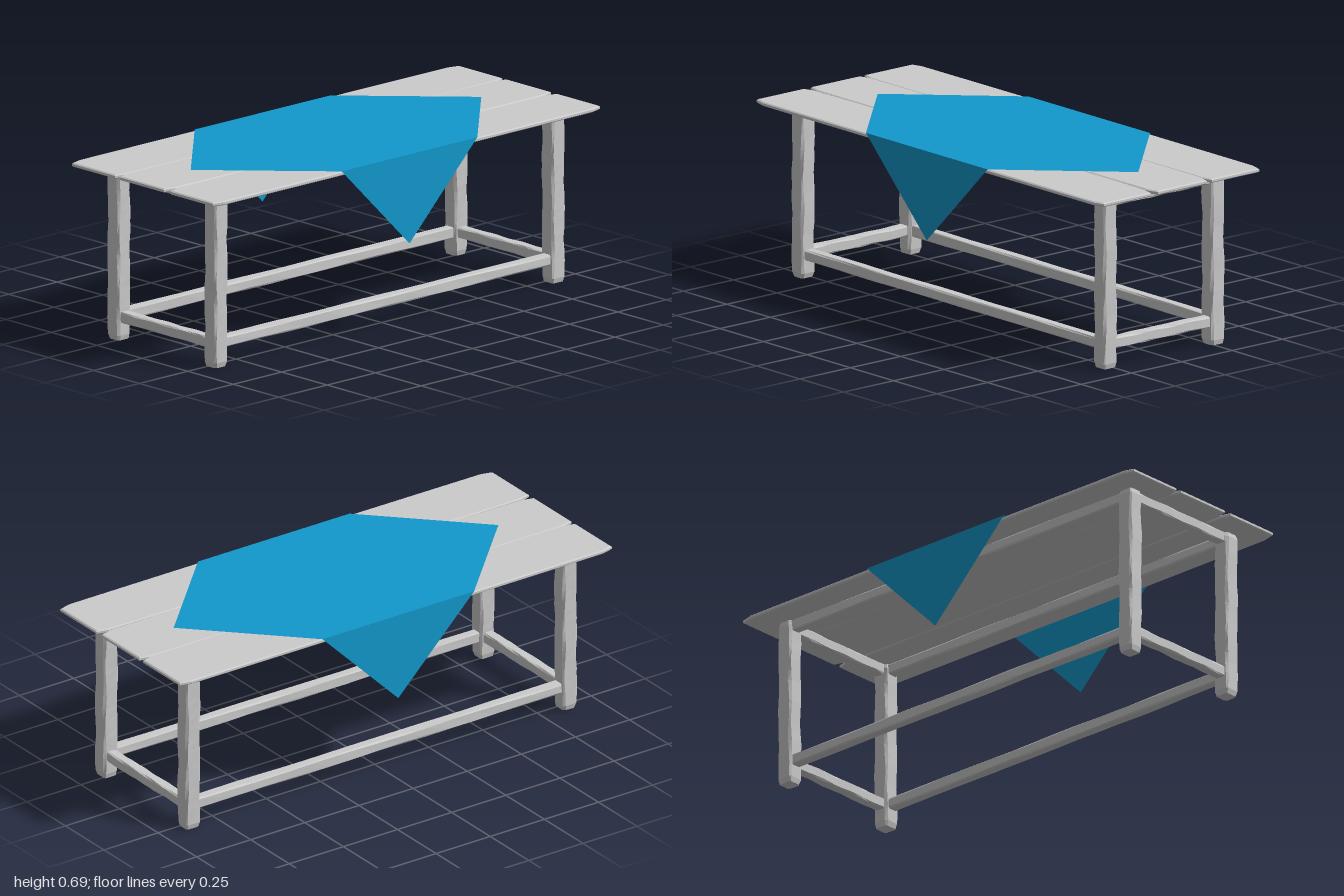
import * as THREE from 'three';

const wood = new THREE.MeshStandardMaterial({ color: 0xcccccc, flatShading: true });
const cloth = new THREE.MeshStandardMaterial({ color: 0x1199cc, side: THREE.DoubleSide, flatShading: true });

// Hewn beam along y: chamfered square section, slight waviness, worn ends
function beam(name, length, w, d, seed, endScale) {
  const g = new THREE.CylinderGeometry(1, 1, length, 8, 16, false, Math.PI / 8);
  const p = g.attributes.position;
  const side = (v, half, chamfer) =>
    Math.abs(v) < 0.01 ? 0 : Math.sign(v) * (Math.abs(v) > 0.6 ? half : half - chamfer);
  for (let i = 0; i < p.count; i++) {
    const t = p.getY(i) / length;
    const end = (0.5 - Math.abs(t)) * 16;
    const s = end < 0.5 ? endScale : 1;
    const x = p.getX(i), z = p.getZ(i);
    const chamfer = w * (0.12 + 0.05 * Math.sin(t * 17 + seed * 2 + x * 3));
    const wave = 1 - 0.025 * (1 + Math.sin(t * 23 + seed * 5 + z * 4));
    p.setX(i, side(x, w / 2, chamfer) * s * wave);
    p.setZ(i, side(z, d / 2, chamfer) * s * wave);
    // Draw the rings beside the ends outward so only the tips taper
    if (end > 0.5 && end < 1.5) p.setY(i, Math.sign(t) * (length / 2 - 0.02));
  }
  const m = new THREE.Mesh(g, wood);
  m.name = name;
  return m;
}

// Tabletop board between x0 and x1, with worn corners and bowed seam edges
function plank(name, x0, x1, cutL, cutR) {
  const edge = [[0.95, 0], [0.7, 0.4], [0.35, 0.8], [0, 1], [-0.35, 0.8], [-0.7, 0.4], [-0.95, 0]];
  const pts = [];
  for (const [z, k] of edge) pts.push([x1 - cutR * (1 - k), z]);
  pts.push([x1 - cutR - 0.012, -0.995], [x0 + cutL + 0.012, -0.995]);
  for (const [z, k] of [...edge].reverse()) pts.push([x0 + cutL * (1 - k), z]);
  pts.push([x0 + cutL + 0.012, 0.995], [x1 - cutR - 0.012, 0.995]);
  const shape = new THREE.Shape(pts.map(([x, z]) => new THREE.Vector2(x, -z)));
  const g = new THREE.ExtrudeGeometry(shape, {
    depth: 0.008, bevelEnabled: true, bevelThickness: 0.004, bevelSize: 0.005, bevelOffset: -0.001, bevelSegments: 1,
  });
  g.rotateX(-Math.PI / 2);
  const m = new THREE.Mesh(g, wood);
  m.name = name;
  m.position.y = 0.673;
  return m;
}

// Flat cloth panel from a fan of corner points
function panel(name, corners) {
  const g = new THREE.BufferGeometry();
  g.setAttribute('position', new THREE.Float32BufferAttribute(corners.flat(), 3));
  const index = [];
  for (let i = 1; i < corners.length - 1; i++) index.push(0, i, i + 1);
  g.setIndex(index);
  g.computeVertexNormals();
  const m = new THREE.Mesh(g, cloth);
  m.name = name;
  return m;
}

export function createModel() {
  const table = new THREE.Group();
  table.name = 'table';
  const lx = 0.267, lz = 0.87;

  // Legs
  let seed = 1;
  for (const sx of [1, -1]) for (const sz of [1, -1]) {
    const leg = beam((sz > 0 ? 'front' : 'back') + (sx > 0 ? 'Left' : 'Right') + 'Leg', 0.67, 0.067, 0.067, seed++, 0.84);
    leg.position.set(sx * lx, 0.335, sz * lz);
    table.add(leg);
  }

  // Upper rails and lower stretchers
  for (const [label, y] of [['Rail', 0.648], ['Stretcher', 0.091]]) {
    for (const s of [1, -1]) {
      const long = beam((s > 0 ? 'left' : 'right') + label, 1.72, 0.043, 0.043, seed++, 1);
      long.rotation.x = Math.PI / 2;
      long.position.set(s * lx, y, 0);
      const short = beam((s > 0 ? 'front' : 'back') + label, 0.5, 0.043, 0.043, seed++, 1);
      short.rotation.z = Math.PI / 2;
      short.position.set(0, y, s * lz);
      table.add(long, short);
    }
  }

  // Tabletop
  table.add(
    plank('rightPlank', -0.398, -0.138, 0.002, 0.003),
    plank('middlePlank', -0.138, 0.131, 0.003, 0.004),
    plank('leftPlank', 0.137, 0.398, 0.005, 0.002),
  );

  // Cloth: hexagonal top with a triangular drop on each side
  const cx = 0.404, cy = 0.688;
  const runner = new THREE.Group();
  runner.name = 'tablecloth';
  runner.add(panel('clothTop', [
    [0, cy, 0.75], [cx, cy, 0.35], [cx, cy, -0.35], [0, cy, -0.75], [-cx, cy, -0.35], [-cx, cy, 0.35],
  ]));
  for (const s of [1, -1]) {
    runner.add(panel(s > 0 ? 'leftClothDrop' : 'rightClothDrop',
      [[s * cx, cy, s * 0.35], [s * cx, 0.34, 0], [s * cx, cy, -s * 0.35]]));
  }
  table.add(runner);
  return table;
}
